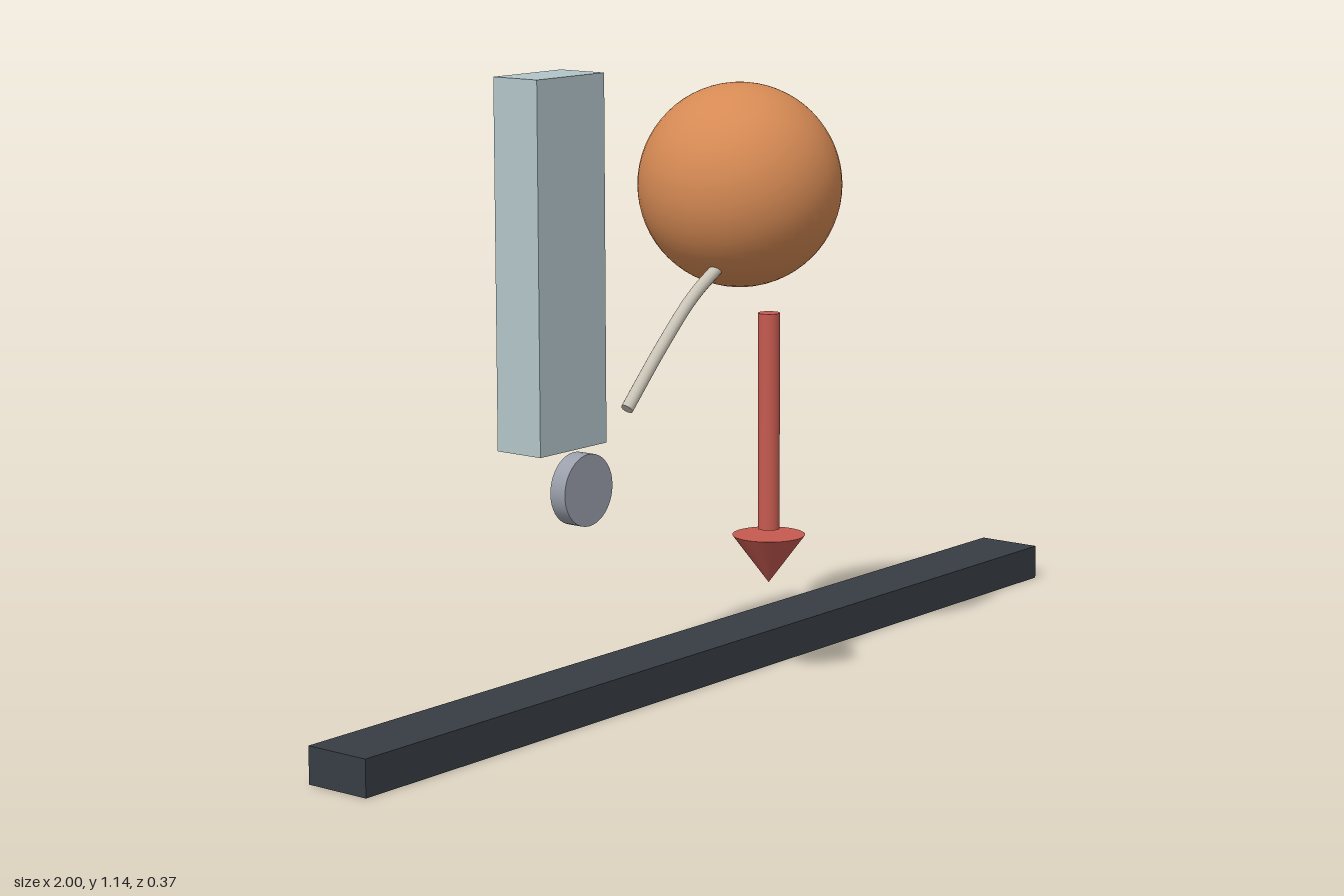
import * as THREE from 'three';

const material = (name, color) => {
  const m = new THREE.MeshStandardMaterial({ color });
  m.name = name;
  return m;
};

export function createModel() {
  const model = new THREE.Group();
  const charcoal = material('charcoal', 0x373d44);
  const orange = material('orange', 0xd68a54);
  const red = material('red', 0xc65a50);
  const paleBlue = material('paleBlue', 0xb2c5c9);
  const steel = material('steel', 0x9a9fab);
  const bone = material('bone', 0xc9c3b6);

  const add = (parent, name, geometry, mat, x, y, z) => {
    const mesh = new THREE.Mesh(geometry, mat);
    mesh.name = name;
    mesh.position.set(x, y, z);
    parent.add(mesh);
    return mesh;
  };

  // Long floor bar, set behind the centre line
  add(model, 'floorBar', new THREE.BoxGeometry(2, 0.067, 0.13), charcoal, 0, 0.0335, -0.065);

  // Ball
  add(model, 'ball', new THREE.SphereGeometry(0.186, 48, 32), orange, 0, 0.917, 0);

  // Downward arrow: shaft and separate head
  const arrow = new THREE.Group();
  arrow.name = 'downArrow';
  arrow.position.z = 0.067;
  model.add(arrow);
  add(arrow, 'arrowShaft', new THREE.CylinderGeometry(0.02, 0.02, 0.4, 24), red, 0, 0.488, 0);
  add(arrow, 'arrowHead', new THREE.ConeGeometry(0.067, 0.09, 32), red, 0, 0.232, 0).rotation.x = Math.PI;

  // Upright post with a disc below its front
  add(model, 'post', new THREE.BoxGeometry(0.177, 0.651, 0.098), paleBlue, -0.449, 0.8195, -0.066);
  add(model, 'disc', new THREE.CylinderGeometry(0.064, 0.064, 0.033, 40), steel, -0.449, 0.427, 0)
    .rotation.x = Math.PI / 2;

  // Curved rod running into the ball, with capped ends
  const path = new THREE.CatmullRomCurve3([
    [-0.364, 0.56], [-0.27, 0.655], [-0.18, 0.735], [-0.09, 0.79],
  ].map(([x, y]) => new THREE.Vector3(x, y, 0.033)));
  const rod = new THREE.Group();
  rod.name = 'rod';
  model.add(rod);
  add(rod, 'rodTube', new THREE.TubeGeometry(path, 24, 0.0115, 12), bone, 0, 0, 0);
  for (const [t, sign] of [[0, -1], [1, 1]]) {
    const p = path.getPointAt(t);
    const cap = add(rod, 'rodCap', new THREE.CircleGeometry(0.0115, 12), bone, p.x, p.y, p.z);
    cap.quaternion.setFromUnitVectors(
      new THREE.Vector3(0, 0, 1), path.getTangentAt(t).multiplyScalar(sign));
  }

  return model;
}
